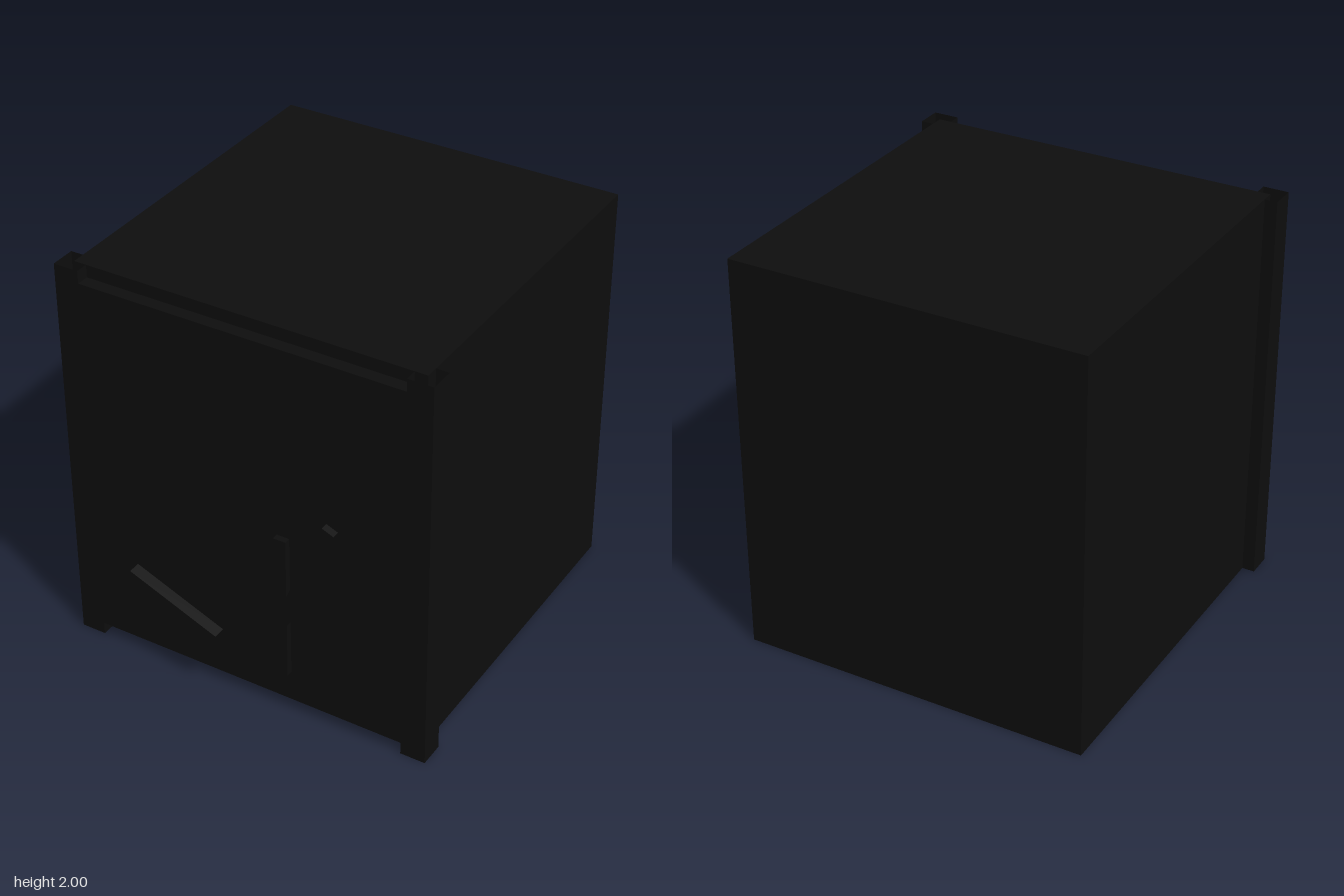
import * as THREE from 'three';

const U = 1 / 16; // modelling unit

export function createModel() {
  const group = new THREE.Group();
  const black = new THREE.MeshStandardMaterial({ color: 0x0d0d0d });
  black.name = 'black';
  const blackOpen = black.clone();
  blackOpen.side = THREE.DoubleSide;

  // Box from its size and centre in units, turned about z
  function box(name, size, centre, turn = 0) {
    const mesh = new THREE.Mesh(new THREE.BoxGeometry(...size.map(v => v * U)), black);
    mesh.name = name;
    mesh.position.set(...centre.map(v => v * U));
    mesh.rotation.z = THREE.MathUtils.degToRad(turn);
    group.add(mesh);
    return mesh;
  }

  // Cabinet and the door set on its front
  box('cabinet', [28, 32, 28], [0, 16, -1]);
  box('door', [26, 30, 1], [0, 16, 13.5]);

  // Corner posts: square tubes without end caps
  for (const side of [-1, 1]) {
    const post = box(side < 0 ? 'rightPost' : 'leftPost', [2, 32, 2], [side * 14, 16, 13]);
    const index = Array.from(post.geometry.index.array);
    // BoxGeometry order: +x, -x, +y, -y, +z, -z, six indices each
    post.geometry.setIndex([...index.slice(0, 12), ...index.slice(24)]);
    post.geometry.clearGroups();
    post.material = blackOpen;
  }

  // Tilted plate on the door
  box('plate', [8, 3, 1], [-6.28, 5.2, 14.5], -22.5);

  // Two crossing bars just in front of the door
  box('uprightBar', [1, 12, 0.5], [3.5, 9.8, 14.45]);
  box('tiltedBar', [1, 12, 0.6], [5.16, 12.5, 14.45], -22.5);

  return group;
}
